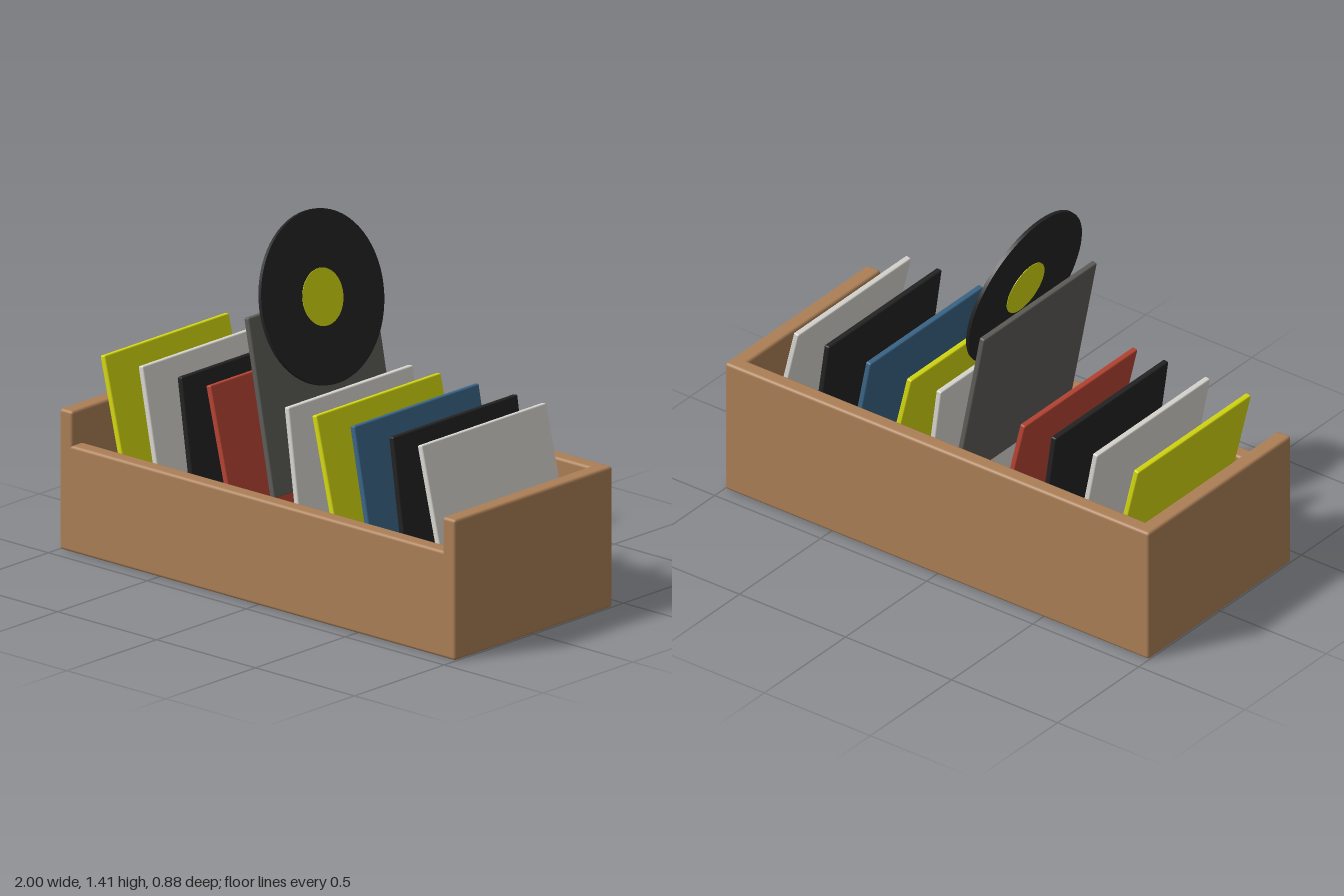
import * as THREE from 'three';
import { RoundedBoxGeometry } from 'three/addons/geometries/RoundedBoxGeometry.js';

function material(name, color) {
  const m = new THREE.MeshStandardMaterial({ color });
  m.name = name;
  return m;
}

export function createModel() {
  const model = new THREE.Group();
  model.name = 'recordCrate';

  const wood = material('wood', 0xab7f56);
  const yellow = material('yellow', 0xd6da10);
  const light = material('lightGrey', 0xdad8d1);
  const black = material('black', 0x232323);
  const grey = material('darkGrey', 0x5e5d59);
  const red = material('red', 0xb84434);
  const blue = material('blue', 0x3b6688);

  // Board given by its minimum and maximum corners
  function board(name, min, max) {
    const size = max.map((v, i) => v - min[i]);
    const mesh = new THREE.Mesh(new RoundedBoxGeometry(...size, 2, 0.012), wood);
    mesh.name = name;
    mesh.position.set(...max.map((v, i) => (v + min[i]) / 2));
    model.add(mesh);
  }

  // Open crate with a lower front
  const W = 1, D = 0.44, H = 0.555, T = 0.065;
  board('crateFloor', [-W, 0, -D], [W, 0.07, D]);
  board('crateBack', [-W, 0, -D], [W, H, -D + T]);
  board('crateFront', [-W, 0, D - T], [W, 0.42, D]);
  board('crateLeftSide', [W - T, 0, -D], [W, H, D]);
  board('crateRightSide', [-W, 0, -D], [-W + T, H, D]);

  // Leaning sleeves: name, material, centre x, tilt in degrees, top height
  const size = 0.695, thick = 0.024;
  const sleeveGeometry = new RoundedBoxGeometry(thick, size, size, 2, 0.006);
  const sleeves = [
    ['yellowSleeve1', yellow, -0.81, 13.5, 0.76],
    ['lightSleeve1', light, -0.632, 11, 0.76],
    ['blackSleeve1', black, -0.453, 8, 0.76],
    ['redSleeve', red, -0.275, 13.5, 0.76],
    ['raisedGreySleeve', grey, -0.098, 11, 1.068],
    ['lightSleeve2', light, 0.085, 7.5, 0.76],
    ['yellowSleeve2', yellow, 0.26, 13.5, 0.76],
    ['blueSleeve', blue, 0.438, 11, 0.76],
    ['blackSleeve2', black, 0.616, 8, 0.76],
    ['lightSleeve3', light, 0.793, 13.5, 0.76],
  ];
  for (const [name, mat, x, degrees, top] of sleeves) {
    const a = THREE.MathUtils.degToRad(degrees);
    const mesh = new THREE.Mesh(sleeveGeometry, mat);
    mesh.name = name;
    mesh.rotation.z = a;
    mesh.position.set(x, top - (size * Math.cos(a) + thick * Math.sin(a)) / 2, -0.027);
    model.add(mesh);
  }

  // Record rising from the raised sleeve, with a label on each face
  const record = new THREE.Group();
  record.name = 'record';
  const discGeometry = new THREE.CylinderGeometry(0.332, 0.332, 0.014, 64).rotateZ(Math.PI / 2);
  const disc = new THREE.Mesh(discGeometry, black);
  disc.name = 'recordDisc';
  const labelGeometry = new THREE.CylinderGeometry(0.11, 0.11, 0.018, 48).rotateZ(Math.PI / 2);
  const label = new THREE.Mesh(labelGeometry, yellow);
  label.name = 'recordLabel';
  record.add(disc, label);
  record.position.set(-0.083, 1.087, -0.01);
  record.rotation.z = THREE.MathUtils.degToRad(14);
  model.add(record);

  return model;
}
